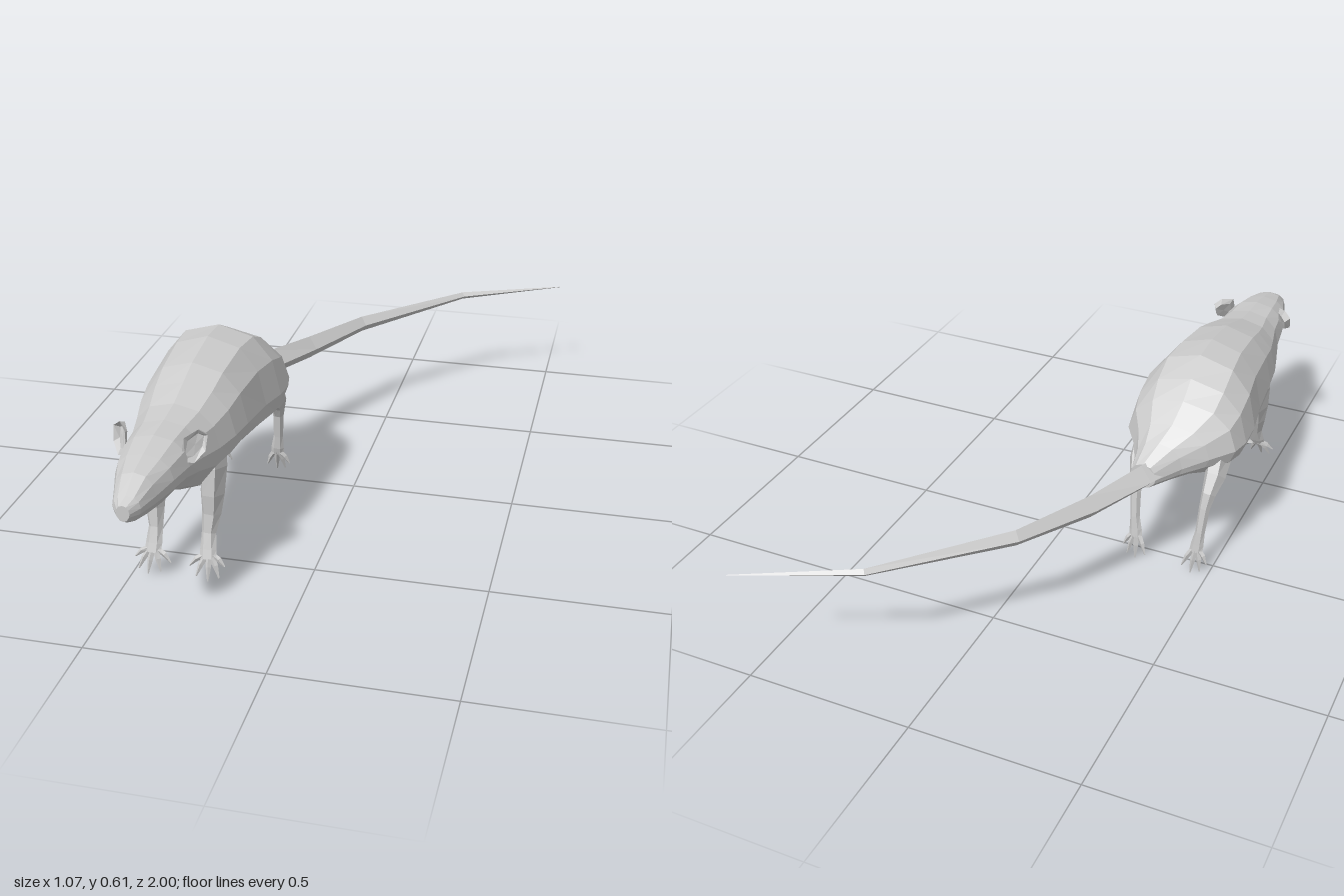
import * as THREE from 'three';

const V = (x, y, z) => new THREE.Vector3(x, y, z);
const material = new THREE.MeshStandardMaterial({ color: 0xcccccc, flatShading: true, side: THREE.DoubleSide });

// Skin a list of rings (counter-clockwise about the travel direction) and cap both ends.
function loft(name, rings) {
  const pos = [];
  const tri = (...pts) => pts.forEach((p) => pos.push(p.x, p.y, p.z));
  const n = rings[0].length;
  const centre = (ring) => ring.reduce((sum, p) => sum.add(p), V(0, 0, 0)).divideScalar(n);
  const first = rings[0], last = rings[rings.length - 1];
  const c0 = centre(first), c1 = centre(last);
  for (let j = 0; j < n; j++) {
    const k = (j + 1) % n;
    for (let i = 0; i < rings.length - 1; i++) {
      const a = rings[i], b = rings[i + 1];
      tri(a[j], a[k], b[k]);
      tri(a[j], b[k], b[j]);
    }
    tri(c0, first[k], first[j]);
    tri(c1, last[j], last[k]);
  }
  const geometry = new THREE.BufferGeometry();
  geometry.setAttribute('position', new THREE.Float32BufferAttribute(pos, 3));
  geometry.computeVertexNormals();
  const mesh = new THREE.Mesh(geometry, material);
  mesh.name = name;
  return mesh;
}

// Tapering limb through [x, y, z, radiusAcross, radiusOther] points.
function limb(name, path, sides, hint = V(1, 0, 0)) {
  const pts = path.map((p) => V(p[0], p[1], p[2]));
  const rings = path.map((p, i) => {
    const d = pts[Math.min(i + 1, pts.length - 1)].clone().sub(pts[Math.max(i - 1, 0)]).normalize();
    const u = hint.clone().addScaledVector(d, -hint.dot(d)).normalize();
    const v = d.clone().cross(u);
    return Array.from({ length: sides }, (_, j) => {
      const a = (j / sides) * Math.PI * 2;
      return pts[i].clone().addScaledVector(u, Math.cos(a) * p[3]).addScaledVector(v, Math.sin(a) * p[4]);
    });
  });
  return loft(name, rings);
}

// Torso and head in one skin: [z, top, middle, bottom, halfWidth, shiftX]
function body() {
  const half = [[1, 0], [0.87, 0.52], [0.56, 0.86], [0, 1]];
  const under = [[0.9, -0.38], [0.5, -0.85], [0, -1]];
  const section = [
    ...half,
    ...[half[2], half[1], half[0], under[0], under[1]].map(([x, y]) => [-x, y]),
    under[2], under[1], under[0],
  ];
  const stations = [
    [-0.11, 0.385, 0.34, 0.305, 0.04, 0.055],
    [-0.05, 0.43, 0.36, 0.305, 0.075, 0.03],
    [0.0, 0.47, 0.38, 0.305, 0.12, 0.01],
    [0.06, 0.52, 0.39, 0.28, 0.17, 0],
    [0.12, 0.565, 0.39, 0.265, 0.183, 0],
    [0.2, 0.605, 0.4, 0.25, 0.183, 0],
    [0.3, 0.61, 0.41, 0.26, 0.167, 0],
    [0.44, 0.59, 0.42, 0.295, 0.155, 0],
    [0.52, 0.565, 0.42, 0.285, 0.145, 0],
    [0.6, 0.54, 0.42, 0.275, 0.125, 0],
    [0.68, 0.53, 0.43, 0.32, 0.104, 0],
    [0.76, 0.525, 0.445, 0.355, 0.095, 0],
    [0.84, 0.51, 0.445, 0.36, 0.08, 0],
    [0.91, 0.495, 0.435, 0.37, 0.057, 0],
    [0.97, 0.462, 0.43, 0.385, 0.038, 0],
    [0.998, 0.448, 0.425, 0.402, 0.018, 0],
  ];
  return loft('body', stations.map(([z, top, mid, bottom, w, dx]) =>
    section.map(([x, y]) => V(dx + x * w, mid + y * (y > 0 ? top - mid : mid - bottom), z))));
}

// Leg with a flat paw and spread toes, for side s = 1 (left) or -1 (right).
function leg(name, s, path, paw, toeTips) {
  const group = new THREE.Group();
  group.name = name;
  group.add(limb('limb', path.map(([x, ...rest]) => [s * x, ...rest]), 6));
  toeTips.forEach(([x, y, z]) => {
    const mix = (k, end, start) => start + (end - start) * k;
    const root = [mix(0.2, x, paw[0]), paw[1], paw[2]];
    const at = (k, lift, r) => [s * mix(k, x, root[0]), mix(k, y, root[1]) + lift, mix(k, z, root[2]), r, r];
    group.add(limb('toe', [at(0, 0, 0.009), at(0.55, 0.006, 0.008), at(1, 0, 0.002)], 4));
  });
  return group;
}

// Cupped leaf-shaped ear.
function ear(s) {
  const rim = [[0.075, 0.465, 0.775], [0.105, 0.452, 0.755], [0.127, 0.475, 0.725], [0.13, 0.515, 0.71],
    [0.108, 0.533, 0.72], [0.08, 0.522, 0.755]];
  const outer = rim.map(([x, y, z]) => V(s * x, y, z));
  const back = rim.map(([x, y, z]) => V(s * (0.09 + (x - 0.09) * 0.7), 0.49 + (y - 0.49) * 0.75, z - 0.022));
  const inner = rim.map(([x, y, z]) => V(s * (0.095 + (x - 0.095) * 0.6), 0.49 + (y - 0.49) * 0.6, z - 0.012));
  const rings = [back, outer, inner];
  if (s < 0) rings.forEach((ring) => ring.reverse());
  return loft('ear', rings);
}

export function createModel() {
  const model = new THREE.Group();
  model.name = 'rodent';
  model.add(body());

  // Long tail curving out to the left
  model.add(limb('tail', [
    [0.03, 0.35, -0.04, 0.04, 0.05], [0.055, 0.347, -0.12, 0.042, 0.04], [0.14, 0.333, -0.3, 0.037, 0.03],
    [0.265, 0.335, -0.525, 0.026, 0.021], [0.56, 0.342, -0.84, 0.012, 0.012], [0.887, 0.342, -1, 0.001, 0.001],
  ], 4, V(0, 1, 0)));

  for (const s of [1, -1]) {
    const frontLeg = [
      [0.085, 0.43, 0.53, 0.035, 0.06], [0.09, 0.34, 0.55, 0.036, 0.062], [0.085, 0.26, 0.565, 0.035, 0.048],
      [0.083, 0.2, 0.575, 0.028, 0.03], [0.078, 0.145, 0.592, 0.021, 0.018],
      [0.08, 0.1, 0.61, 0.024, 0.013], [0.082, 0.075, 0.622, 0.024, 0.009],
    ];
    model.add(leg('frontLeg', s, frontLeg, [0.082, 0.085, 0.615],
      [[0.132, 0.06, 0.628], [0.118, 0.03, 0.642], [0.088, 0.022, 0.652], [0.052, 0.03, 0.645], [0.028, 0.05, 0.625]]));

    const hindLeg = [
      [0.115, 0.37, 0.1, 0.04, 0.07], [0.12, 0.305, 0.035, 0.032, 0.04], [0.115, 0.262, -0.002, 0.022, 0.024],
      [0.11, 0.22, -0.018, 0.017, 0.015], [0.105, 0.14, -0.03, 0.015, 0.013],
      [0.1, 0.095, -0.035, 0.02, 0.012], [0.098, 0.07, -0.04, 0.021, 0.009],
    ];
    model.add(leg('hindLeg', s, hindLeg, [0.098, 0.08, -0.037],
      [[0.135, 0.035, -0.045], [0.118, 0.012, -0.055], [0.09, 0.004, -0.06], [0.06, 0.02, -0.055]]));

    model.add(ear(s));
  }

  model.position.x = -0.357;
  return model;
}
